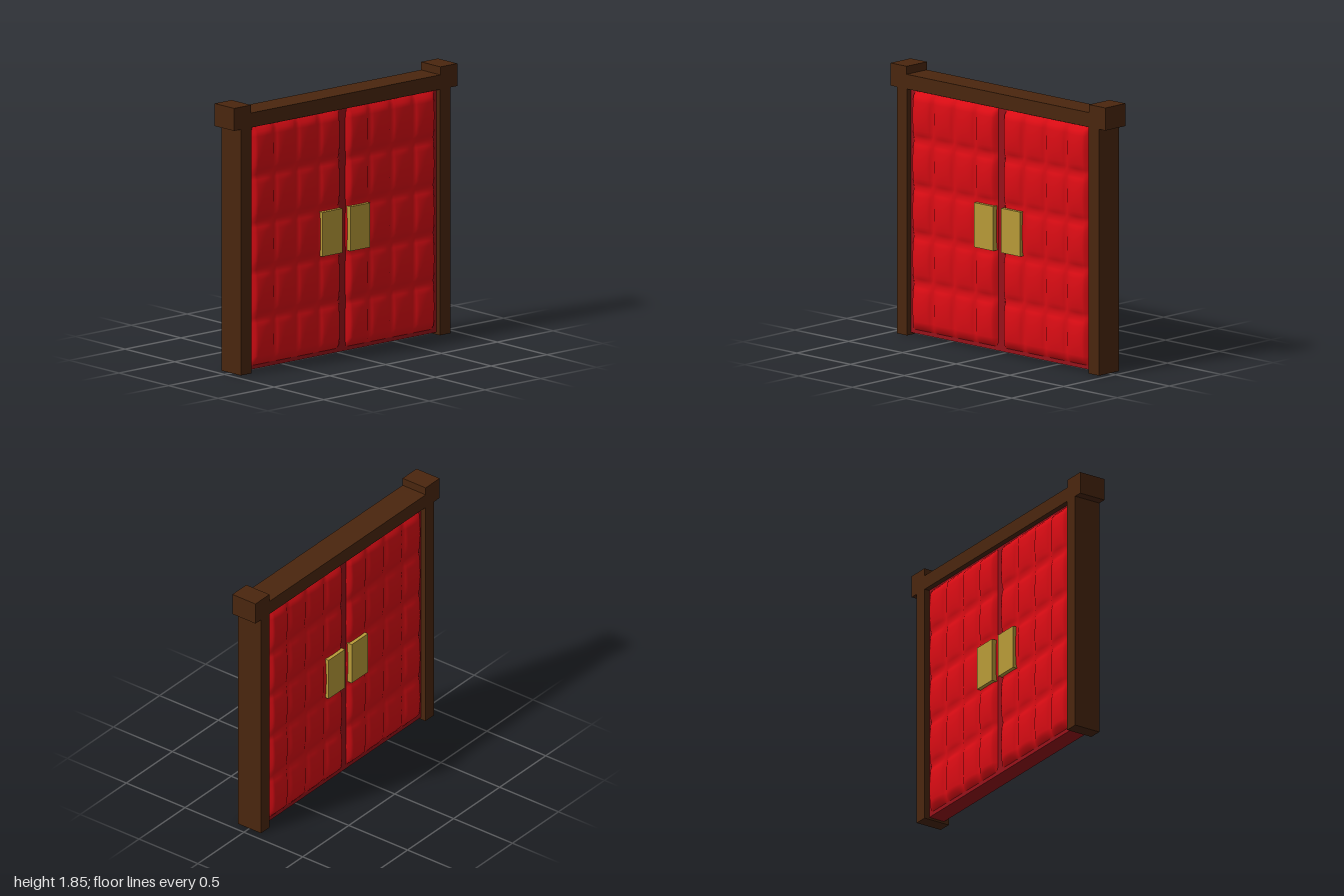
import * as THREE from 'three';

const wood = new THREE.MeshStandardMaterial({ color: 0x4a260e });
const red = new THREE.MeshStandardMaterial({ color: 0xdc0c14 });
const darkRed = new THREE.MeshStandardMaterial({ color: 0x98121a });
const gold = new THREE.MeshStandardMaterial({ color: 0xb89b38 });

// Box given by its min and max corners
function box(name, material, x0, x1, y0, y1, z0, z1) {
  const mesh = new THREE.Mesh(new THREE.BoxGeometry(x1 - x0, y1 - y0, z1 - z0), material);
  mesh.position.set((x0 + x1) / 2, (y0 + y1) / 2, (z0 + z1) / 2);
  mesh.name = name;
  return mesh;
}

// Padded sheet: a plane swollen into a grid of cushions, closed down to the panel at its rim
function paddingGeometry(width, height, cols, rows) {
  const n = 10;
  const geo = new THREE.PlaneGeometry(width, height, cols * n, rows * n);
  const pos = geo.attributes.position;
  for (let i = 0; i < pos.count; i++) {
    const u = pos.getX(i) / width + 0.5;
    const v = pos.getY(i) / height + 0.5;
    const swell = Math.abs(Math.sin(u * cols * Math.PI) * Math.sin(v * rows * Math.PI));
    const outerColumn = u < 1 / cols || u > 1 - 1 / cols;
    const rim = Math.min(u, 1 - u, v, 1 - v) < 1e-4;
    pos.setZ(i, rim ? 0.058 : 0.073 + (outerColumn ? 0.031 : 0.026) * Math.pow(swell, 0.5));
  }
  geo.computeVertexNormals();
  return geo;
}

export function createModel() {
  const model = new THREE.Group();

  // Wooden frame
  for (const s of [-1, 1]) {
    const span = (a, b) => (s > 0 ? [a, b] : [-b, -a]);
    const side = s > 0 ? 'left' : 'right';
    model.add(box(side + 'Post', wood, ...span(0.845, 0.94), 0, 1.69, -0.098, 0.098));
    model.add(box(side + 'PostCap', wood, ...span(0.848, 1), 1.69, 1.845, -0.098, 0.098));
  }
  model.add(box('lintel', wood, -0.848, 0.848, 1.69, 1.79, -0.098, 0.098));

  // Solid core behind the padding
  model.add(box('doorCore', darkRed, -0.845, 0.845, 0.015, 1.69, -0.06, 0.06));

  // Padding and push plates, the same on both faces
  const x0 = 0.028, x1 = 0.82, y0 = 0.04, y1 = 1.68;
  const padding = paddingGeometry(x1 - x0, y1 - y0, 4, 5);
  for (const face of ['front', 'back']) {
    const group = new THREE.Group();
    group.name = face + 'DoorFace';
    for (const s of [-1, 1]) {
      const pad = new THREE.Mesh(padding, red);
      pad.name = 'paddedPanel';
      pad.position.set(s * (x0 + x1) / 2, (y0 + y1) / 2, 0);
      group.add(pad);
      const plate = box('pushPlate', gold, 0.037, 0.213, 0.705, 1.01, 0.06, 0.105);
      plate.position.x *= s;
      group.add(plate);
    }
    if (face === 'back') group.rotation.y = Math.PI;
    model.add(group);
  }
  return model;
}
